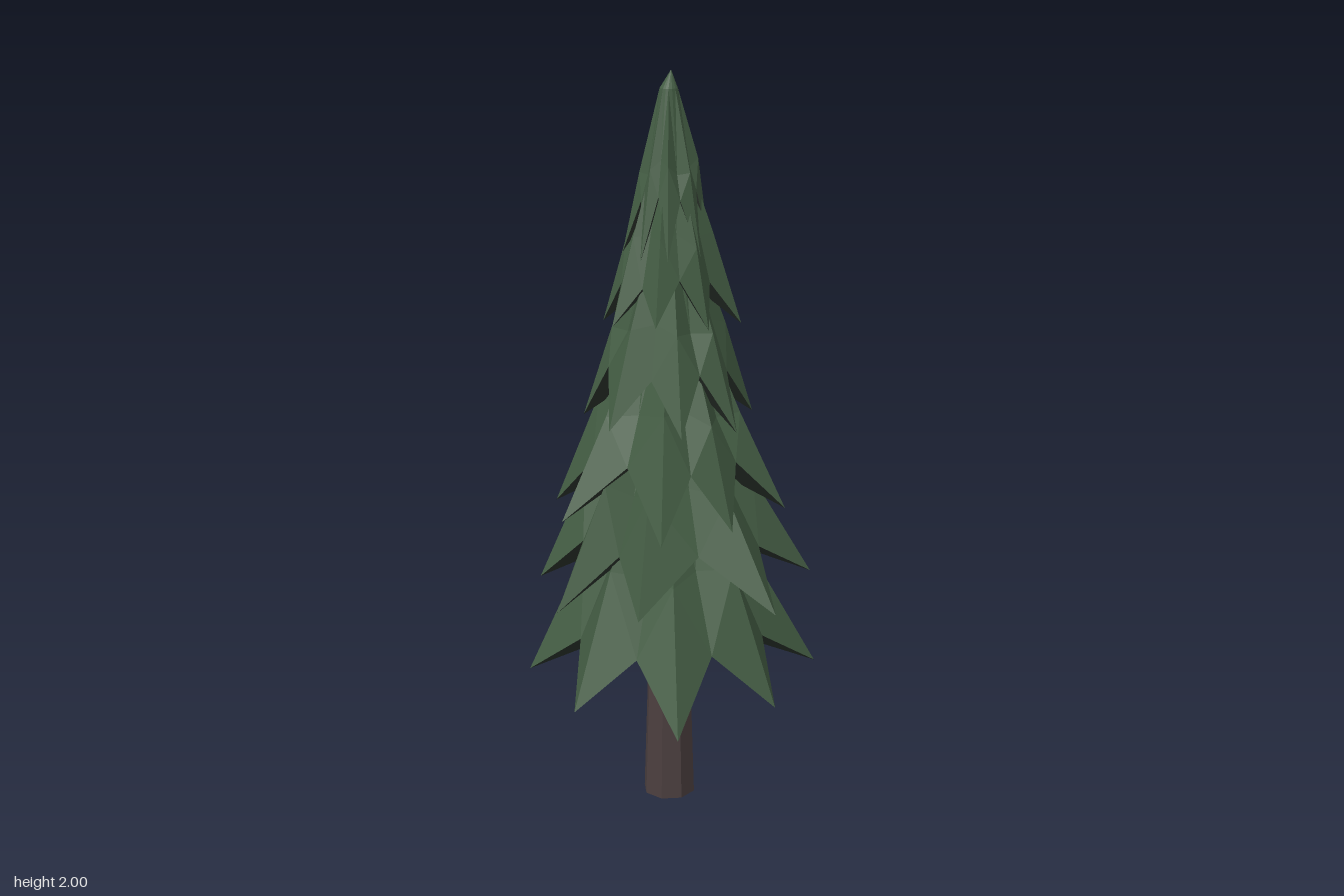
import * as THREE from 'three';

function paint(name, color) {
  const material = new THREE.MeshStandardMaterial({ color, flatShading: true });
  material.name = name;
  return material;
}
const foliage = paint('pine green', 0x435c43);
const shade = paint('dark underside green', 0x2a322b);
const bark = paint('dark bark', 0x4b3f3f);

// small seeded generator for the uneven branch edges
let seed = 7;
const jitter = (amount) => {
  seed = (seed * 16807) % 2147483647;
  return (seed / 2147483647 - 0.5) * 2 * amount;
};

// evenly spread branch tips for the small upper tiers
const ringTips = (radius, turn) => Array.from({ length: 8 }, (_, i) => {
  const a = turn + i * Math.PI / 4 + jitter(0.08);
  const r = radius * (1 + jitter(0.1));
  return [Math.cos(a) * r - 0.01, Math.sin(a) * r];
});

// Each tier: tip height, valley height, shoulder height, top height,
// shoulder and top radius as a share of the tip radius, and tips as [x, z] by angle.
const tiers = [
  { tipY: 0.37, valleyY: 0.505, midY: 0.70, topY: 0.98, mid: 0.52, top: 0.20,
    tips: [[0.395, 0.015], [0.245, 0.28], [-0.03, 0.44], [-0.285, 0.25],
      [-0.395, -0.015], [-0.29, -0.30], [0, -0.445], [0.31, -0.295]] },
  { tipY: 0.65, valleyY: 0.775, midY: 0.93, topY: 1.2, mid: 0.55, top: 0.20,
    tips: [[0.37, 0.055], [0.235, 0.325], [-0.12, 0.32], [-0.325, 0.235],
      [-0.36, -0.01], [-0.23, -0.285], [0.04, -0.40], [0.31, -0.245]] },
  { tipY: 0.85, valleyY: 0.99, midY: 1.13, topY: 1.42, mid: 0.57, top: 0.20,
    tips: [[0.29, 0.105], [0.13, 0.25], [-0.06, 0.31], [-0.305, 0.145],
      [-0.31, -0.10], [-0.15, -0.27], [0.09, -0.305], [0.245, -0.19]] },
  { tipY: 1.09, valleyY: 1.235, midY: 1.35, topY: 1.62, mid: 0.58, top: 0.20,
    tips: [[0.215, -0.01], [0.15, 0.17], [0, 0.23], [-0.18, 0.165],
      [-0.235, -0.04], [-0.165, -0.165], [-0.01, -0.27], [0.185, -0.19]] },
  { tipY: 1.36, valleyY: 1.475, midY: 1.58, topY: 1.82, mid: 0.6, top: 0.2, tips: ringTips(0.175, 0.25) },
  { tipY: 1.54, valleyY: 1.69, midY: 1.76, topY: 1.955, mid: 0.6, top: 0.2, tips: ringTips(0.115, 0.05) },
];

// A star-shaped skirt: alternating tips and valleys, a shoulder ring, a small top and a dark underside
function skirt({ tipY, valleyY, midY, topY, mid, top, tips }, apex) {
  const n = tips.length * 2;
  const cx = -0.01;
  const meanR = tips.reduce((s, [x, z]) => s + Math.hypot(x, z), 0) / tips.length;
  const edge = [], shoulder = [], crown = [];
  for (let i = 0; i < n; i++) {
    const [ax, az] = tips[i >> 1];
    const [bx, bz] = tips[((i + 1) >> 1) % tips.length];
    const valley = i % 2;
    const dx = (ax + bx) / 2 - cx, dz = (az + bz) / 2;
    const len = Math.hypot(dx, dz);
    const ux = dx / len, uz = dz / len;
    const at = (r, y) => new THREE.Vector3(cx + ux * r, y, uz * r);
    const reach = valley ? meanR * (0.68 + jitter(0.04)) : len;
    edge.push(at(reach, (valley ? valleyY : tipY) + jitter(0.015)));
    shoulder.push(at(meanR * mid * (valley ? 0.83 : 1.08), midY + jitter(0.02)));
    crown.push(at(meanR * top, topY));
  }
  const hollow = new THREE.Vector3(cx, valleyY + 0.02, 0);
  const upper = [], under = [];
  const tri = (list, ...corners) => corners.forEach((p) => list.push(p.x, p.y, p.z));
  for (let i = 0; i < n; i++) {
    const j = (i + 1) % n;
    tri(upper, apex, crown[j], crown[i]);
    for (const [hi, lo] of [[crown, shoulder], [shoulder, edge]]) {
      // split each panel from the ridge so that branches stay symmetric
      if (i % 2) {
        tri(upper, hi[j], lo[j], lo[i]);
        tri(upper, hi[j], lo[i], hi[i]);
      } else {
        tri(upper, hi[i], lo[j], lo[i]);
        tri(upper, hi[i], hi[j], lo[j]);
      }
    }
    tri(under, hollow, edge[i], edge[j]);
  }
  const geo = new THREE.BufferGeometry();
  geo.setAttribute('position', new THREE.Float32BufferAttribute([...upper, ...under], 3));
  geo.addGroup(0, upper.length / 3, 0);
  geo.addGroup(upper.length / 3, under.length / 3, 1);
  geo.computeVertexNormals();
  return geo;
}

export function createModel() {
  const tree = new THREE.Group();
  tree.name = 'pineTree';

  // tapered eight-sided trunk
  const trunk = new THREE.Mesh(new THREE.CylinderGeometry(0.05, 0.073, 0.7, 8), bark);
  trunk.geometry.rotateY(Math.PI / 8);
  trunk.position.set(-0.01, 0.35, 0.003);
  trunk.name = 'trunk';
  tree.add(trunk);

  // overlapping branch tiers, the last one ending in the slightly leaning treetop
  tiers.forEach((tier, i) => {
    const apex = i === tiers.length - 1
      ? new THREE.Vector3(-0.003, 2, -0.01)
      : new THREE.Vector3(-0.01, tier.topY + 0.04, -0.005);
    const mesh = new THREE.Mesh(skirt(tier, apex), [foliage, shade]);
    mesh.name = `branchTier${i + 1}`;
    tree.add(mesh);
  });
  return tree;
}
